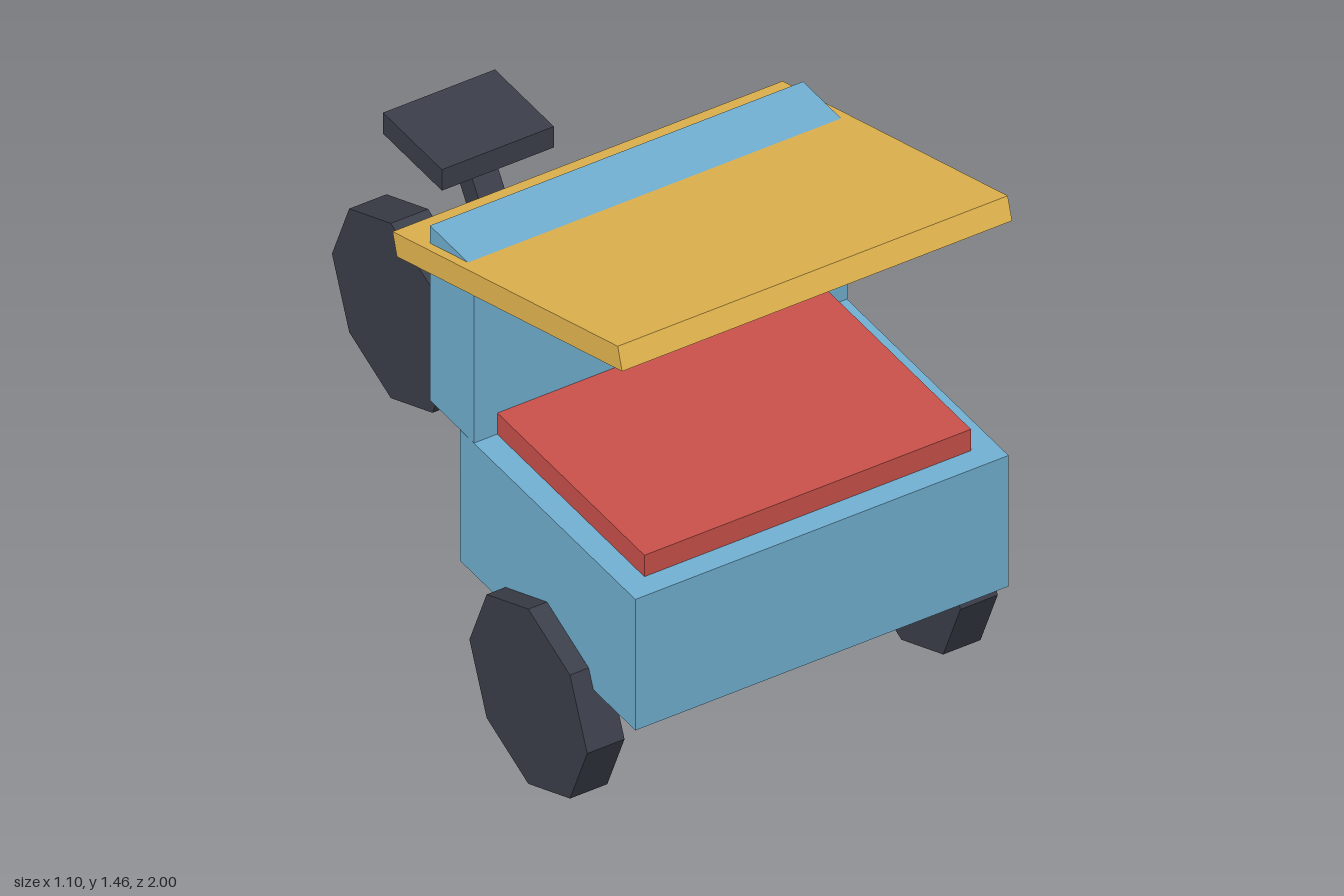
import * as THREE from 'three';

export function createModel() {
  const model = new THREE.Group();
  const mat = (color) => new THREE.MeshStandardMaterial({ color, flatShading: true });
  const blue = mat(0x73b2d4), red = mat(0xcc524c), yellow = mat(0xebbc52), dark = mat(0x3c404b);

  const add = (name, geometry, material, x, y, z, tilt = 0) => {
    const mesh = new THREE.Mesh(geometry, material);
    mesh.name = name;
    mesh.position.set(x, y, z);
    mesh.rotation.x = tilt;
    model.add(mesh);
  };
  const box = (name, material, [w, h, d], y, z, tilt) =>
    add(name, new THREE.BoxGeometry(w, h, d), material, 0, y, z, tilt);

  // Passenger cabin
  box('cabinBase', blue, [1, 0.375, 0.745], 0.5645, 0.6275);
  box('backrest', blue, [1, 0.5, 0.1875], 1.003, 0.222);
  box('cushion', red, [0.875, 0.0625, 0.625], 0.782, 0.627);
  box('canopy', yellow, [1.045, 0.0625, 1], 1.283, 0.4925, -0.3);

  // Rear frame with its saddle
  box('frameBeam', dark, [0.07, 0.0625, 0.875], 0.442, -0.306, -0.144);
  box('saddlePost', dark, [0.07, 0.45, 0.07], 0.685, -0.372, -0.59);
  box('saddle', dark, [0.3, 0.06, 0.25], 0.91, -0.5);

  // Eight-sided wheels, axle along x
  const wheel = new THREE.CylinderGeometry(0.25, 0.25, 0.1, 8).rotateZ(Math.PI / 2);
  add('leftWheel', wheel, dark, 0.5, 0.25, 0.625);
  add('rightWheel', wheel, dark, -0.5, 0.25, 0.625);
  add('rearWheel', wheel, dark, 0, 0.25, -0.75);

  return model;
}
